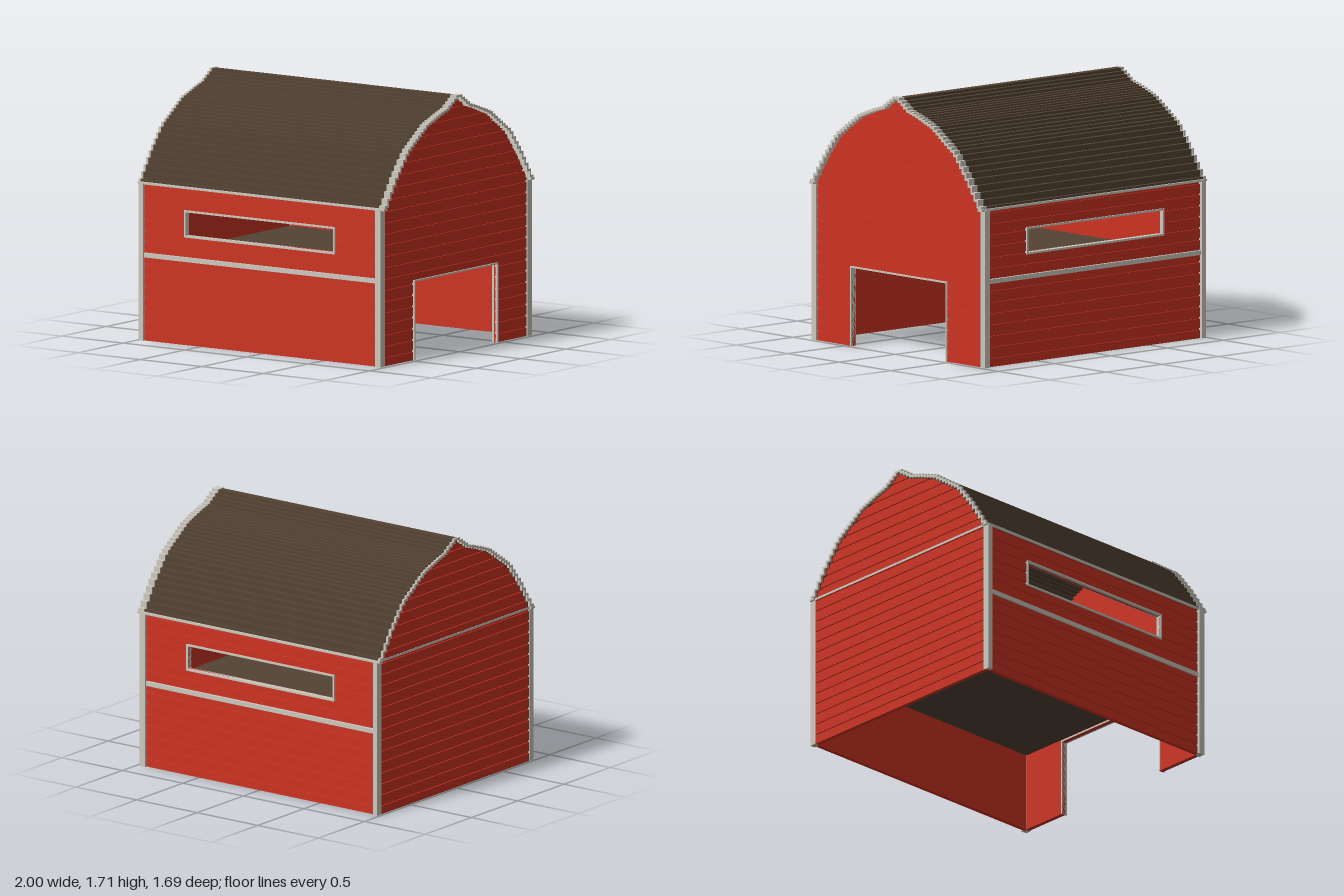
import * as THREE from 'three';

const mat = (name, color) => {
  const m = new THREE.MeshStandardMaterial({ color });
  m.name = name;
  return m;
};

export function createModel() {
  const red = mat('barn red', 0xcc3322);
  const pale = mat('pale trim', 0xccc8be);
  const brown = mat('roof brown', 0x544334);
  const barn = new THREE.Group();
  barn.name = 'barn';

  const add = (name, geometry, material, parent = barn) => {
    const mesh = new THREE.Mesh(geometry, material);
    mesh.name = name;
    parent.add(mesh);
    return mesh;
  };
  // Box given by its lowest and highest corners
  const box = (name, material, x0, x1, y0, y1, z0, z1) =>
    add(name, new THREE.BoxGeometry(x1 - x0, y1 - y0, z1 - z0)
      .translate((x0 + x1) / 2, (y0 + y1) / 2, (z0 + z1) / 2), material);
  const shape = (pts) => new THREE.Shape(pts.map(([x, y]) => new THREE.Vector2(x, y)));
  const extrude = (shapes, from, to) =>
    new THREE.ExtrudeGeometry(shapes, { depth: to - from, bevelEnabled: false }).translate(0, 0, from);
  // Extrusion running along x instead of z
  const extrudeX = (shapes, from, to) => extrude(shapes, from, to).rotateY(Math.PI / 2);

  // Half profile of the curved roof: distance from the ridge line, height
  const profile = [[0.825, 1.045], [0.7, 1.235], [0.57, 1.4], [0.35, 1.55], [0.2, 1.605], [0.13, 1.625], [0, 1.71]];
  const lerpOn = (v, a, b) => {
    for (let i = 1; i < profile.length; i++) {
      const p = profile[i - 1], q = profile[i];
      if ((v - p[a]) * (v - q[a]) <= 0) return p[b] + (q[b] - p[b]) * (v - p[a]) / (q[a] - p[a]);
    }
    return 0;
  };
  const heightAt = (z) => lerpOn(z, 0, 1);
  const halfWidthAt = (y) => (y <= 1.05 ? 0.81 : Math.max(0.004, Math.min(0.81, lerpOn(y, 1, 0) - 0.02)));

  // Stepped roof line, pushed outward by t
  const steps = 29;
  const stair = (t) => {
    const half = [[0.825 + t, 1.045]];
    for (let i = 0; i < steps; i++) {
      const z0 = 0.825 * (1 - i / steps), z1 = 0.825 * (1 - (i + 1) / steps);
      const y = heightAt((z0 + z1) / 2) + t;
      half.push([z0 + t, y]);
      if (i < steps - 1) half.push([z1 + t, y]);
    }
    return [...half, ...half.slice().reverse().map(([z, y]) => [-z, y])];
  };
  const band = (outer, inner) => shape([...stair(outer), ...stair(inner).reverse()]);

  // Roof shell with pale rakes and eaves
  add('roof', extrudeX(band(0, -0.014), -0.985, 0.955), brown);
  add('rightRake', extrudeX(band(0.005, -0.01), 0.95, 1), pale);
  add('leftRake', extrudeX(band(0.005, -0.01), -1, -0.983), pale);
  for (const s of [1, -1]) {
    const [z0, z1] = s > 0 ? [0.8, 0.84] : [-0.84, -0.8];
    box('eaveTrim', pale, -1, 1, 1.038, 1.053, z0, z1);
  }
  box('leftGableTrim', pale, -0.986, -0.96, 1.038, 1.053, -0.82, 0.82);

  // Horizontal boards with narrow grooves, leaving a rectangular opening free
  const pitch = 0.0745, groove = 0.013;
  const boards = (top, lo, hi, hole) => {
    const list = [];
    const piece = (a, b, l, r) => list.push(shape([[l(a), a], [r(a), a], [r(b), b], [l(b), b]]));
    for (let k = 0; k * pitch < top; k++) {
      const y0 = k === 0 ? 0 : k * pitch - 0.007;
      const y1 = Math.min(top, (k + 1) * pitch - 0.007 - groove);
      if (y1 <= y0) continue;
      const cuts = [y0, ...(hole ? [hole.y0, hole.y1].filter((y) => y > y0 && y < y1) : []), y1];
      for (let i = 1; i < cuts.length; i++) {
        const a = cuts[i - 1], b = cuts[i], mid = (a + b) / 2;
        if (hole && mid > hole.y0 && mid < hole.y1) {
          piece(a, b, lo, () => hole.x0);
          piece(a, b, () => hole.x1, hi);
        } else piece(a, b, lo, hi);
      }
    }
    return list;
  };

  // Long walls with a wide window, frame and middle rail
  const win = { x0: -0.612, x1: 0.583, y0: 0.728, y1: 0.883 };
  const rect = (x0, x1, y0, y1) => [[x0, y0], [x1, y0], [x1, y1], [x0, y1]];
  const wallShape = shape(rect(-0.97, 0.945, 0, 1.05));
  wallShape.holes.push(shape(rect(win.x0, win.x1, win.y0, win.y1)));
  const frameShape = shape(rect(win.x0 - 0.013, win.x1 + 0.013, win.y0 - 0.013, win.y1 + 0.013));
  frameShape.holes.push(shape(rect(win.x0, win.x1, win.y0, win.y1)));
  for (const s of [1, -1]) {
    const side = s > 0 ? 'front' : 'back';
    const span = (a, b) => (s > 0 ? [a, b] : [-b, -a]);
    add(side + 'Wall', extrude(wallShape, ...span(0.8, 0.818)), red);
    add(side + 'Siding', extrude(boards(1.045, () => -0.97, () => 0.945, win), ...span(0.818, 0.828)), red);
    add(side + 'WindowFrame', extrude(frameShape, ...span(0.798, 0.838)), pale);
    box(side + 'Rail', pale, -0.96, 0.935, 0.553, 0.583, ...span(0.81, 0.838));
    // Corner posts
    box(side + 'LeftPost', pale, 0.93, 0.975, 0, 1.045, ...span(0.798, 0.845));
    box(side + 'RightPost', pale, -0.986, -0.95, 0, 1.045, ...span(0.798, 0.845));
  }

  // Gable ends, one with a doorway open to the ground
  const door = { x0: -0.458, x1: 0.458, y0: -1, y1: 0.52 };
  const gable = stair(-0.006);
  const plainEnd = shape([[0.81, 0], ...gable, [-0.81, 0]]);
  const doorEnd = shape([[0.81, 0], ...gable, [-0.81, 0],
    [door.x0, 0], [door.x0, door.y1], [door.x1, door.y1], [door.x1, 0]]);
  const left = (y) => -halfWidthAt(y), right = halfWidthAt;
  add('closedEndWall', extrudeX(plainEnd, -0.974, -0.955), red);
  add('closedEndSiding', extrudeX(boards(1.69, left, right), -0.983, -0.974), red);
  add('doorEndWall', extrudeX(doorEnd, 0.935, 0.956), red);
  add('doorEndSiding', extrudeX(boards(1.69, left, right, door), 0.956, 0.965), red);

  // Door frame
  const t = 0.011, d = door.x1, h = door.y1;
  add('doorFrame', extrudeX(shape([[d, 0], [d + t, 0], [d + t, h + t], [-d - t, h + t],
    [-d - t, 0], [-d, 0], [-d, h], [d, h]]), 0.932, 0.975), pale);

  // Loft floor inside
  box('loftFloor', brown, -0.955, 0.935, 0.535, 0.555, -0.8, 0.8);

  return barn;
}
